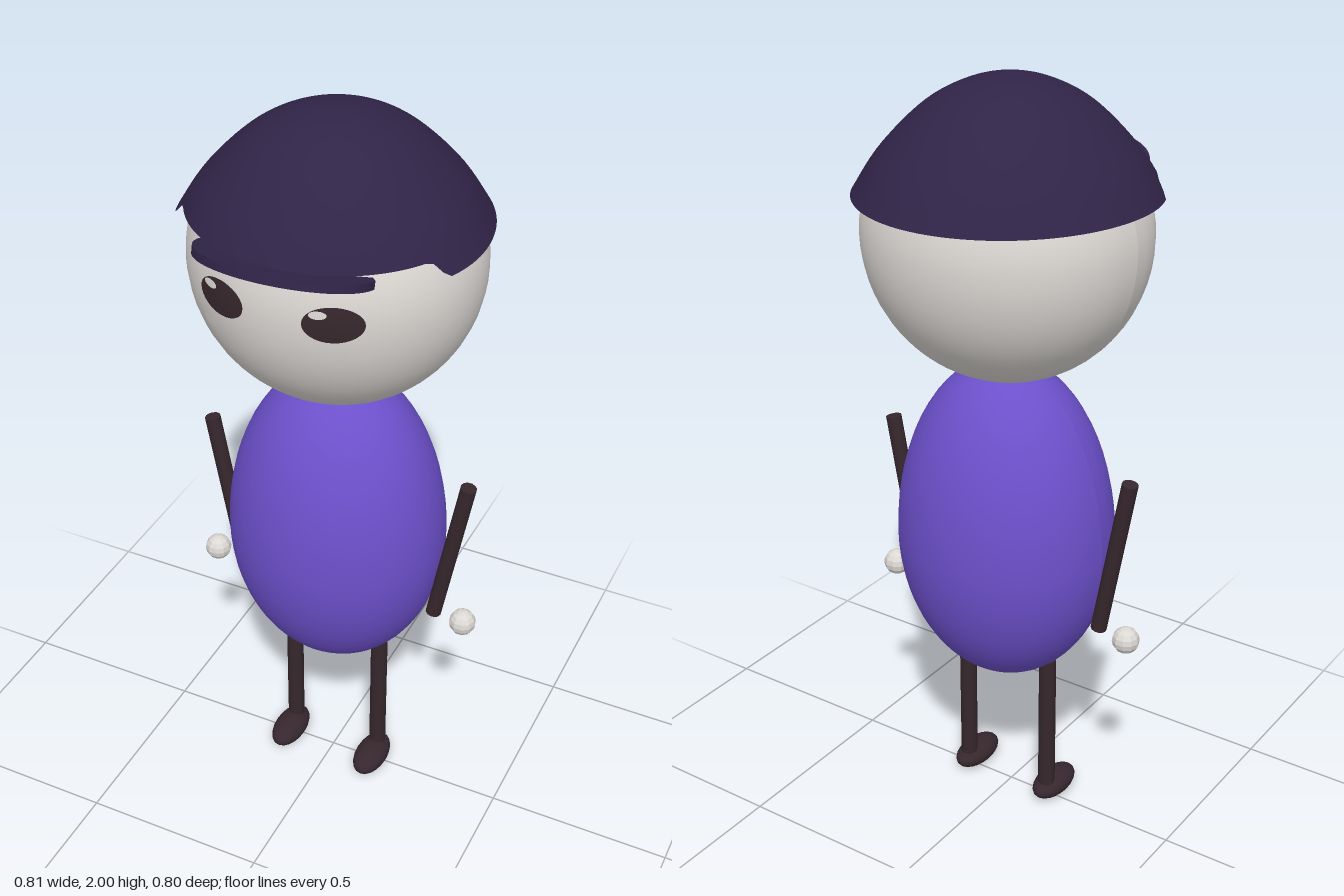
import * as THREE from 'three';
import { ParametricGeometry } from 'three/addons/geometries/ParametricGeometry.js';

const mat = (name, color, extra = {}) => {
  const m = new THREE.MeshStandardMaterial({ color, ...extra });
  m.name = name;
  return m;
};

export function createModel() {
  const group = new THREE.Group();
  const navy = mat('cap navy', 0x302447, { side: THREE.DoubleSide });
  const pale = mat('pale skin', 0xdcd8d4);
  const paleFlat = mat('pale skin faceted', 0xdcd8d4, { flatShading: true });
  const purple = mat('body purple', 0x6c50cb);
  const dark = mat('limb brown', 0x36272d);

  const add = (name, geometry, material, x = 0, y = 0, z = 0) => {
    const mesh = new THREE.Mesh(geometry, material);
    mesh.name = name;
    mesh.position.set(x, y, z);
    group.add(mesh);
    return mesh;
  };

  // Ellipsoid whose upper and lower halves have different heights
  const egg = (rx, up, down, rz) => {
    const g = new THREE.SphereGeometry(1, 48, 32);
    const p = g.attributes.position;
    for (let i = 0; i < p.count; i++) {
      const y = p.getY(i);
      p.setXYZ(i, p.getX(i) * rx, y * (y > 0 ? up : down), p.getZ(i) * rz);
    }
    g.computeVertexNormals();
    return g;
  };

  add('body', egg(0.293, 0.49, 0.4, 0.26), purple, 0, 0.8, -0.025);
  const head = { x: 0.365, up: 0.33, down: 0.37, z: 0.338, cy: 1.62, cz: -0.02 };
  add('head', egg(head.x, head.up, head.down, head.z), pale, 0, head.cy, head.cz);

  // Elliptical patch that follows the front of the head
  const facePatch = (name, x, y, rx, ry, lift, material) => {
    const g = new THREE.RingGeometry(0, 1, 32, 5);
    const p = g.attributes.position;
    for (let i = 0; i < p.count; i++) {
      const px = x + p.getX(i) * rx, py = y + p.getY(i) * ry;
      const dy = (py - head.cy) / (py > head.cy ? head.up : head.down);
      const depth = Math.sqrt(1 - (px / head.x) ** 2 - dy * dy);
      p.setXYZ(i, px, py, head.cz + head.z * depth + lift);
    }
    g.computeVertexNormals();
    add(name, g, material);
  };

  // Cap dome with a raised rim above the face
  const profile = new THREE.SplineCurve([
    [0, 0], [0.1, 0.02], [0.205, 0.075], [0.31, 0.18], [0.375, 0.28],
  ].map(([r, drop]) => new THREE.Vector2(r, drop)));
  const dome = new ParametricGeometry((u, v, target) => {
    const a = Math.PI - u * Math.PI * 2;
    const c = Math.cos(a);
    const end = 1 - 0.095 * THREE.MathUtils.clamp((c - 0.38) / 0.084, 0, 1);
    const p = profile.getPointAt(v * end);
    target.set(p.x * Math.sin(a), 2 - p.y, p.x * c * (c > 0 ? 0.958 : 1.062));
  }, 120, 24);
  dome.computeVertexNormals();
  add('capDome', dome, navy);

  // Upturned brim
  const outline = new THREE.Shape();
  outline.moveTo(-0.2, 0);
  outline.lineTo(-0.22, 0.025);
  outline.absellipse(0, 0.025, 0.22, 0.155, Math.PI, 0, true);
  outline.lineTo(0.2, 0);
  const brim = add('capBrim',
    new THREE.ExtrudeGeometry(outline, { depth: 0.02, bevelEnabled: false, curveSegments: 32 }),
    navy, 0, 1.732, 0.225);
  brim.rotation.x = Math.PI / 2 - 0.27;

  for (const s of [-1, 1]) {
    const side = s > 0 ? 'left' : 'right';

    // Face details
    facePatch(side + 'Eye', s * 0.14, 1.63, 0.067, 0.045, 0.009, dark);
    facePatch(side + 'EyeGlint', s * 0.14 - 0.03, 1.656, 0.02, 0.01, 0.013, pale);
    facePatch(side + 'Cheek', s * 0.19, 1.54, 0.023, 0.015, 0.005, pale);

    // Slanted arm with a separate round hand
    const arm = add(side + 'Arm', new THREE.CylinderGeometry(0.021, 0.021, 0.445, 12),
      dark, s * 0.325, 0.82, -0.02);
    arm.rotation.z = -s * 0.18;
    add(side + 'Hand', new THREE.SphereGeometry(0.036, 10, 8), paleFlat, s * 0.368, 0.595, -0.022);

    // Leg and foot
    add(side + 'Leg', new THREE.CylinderGeometry(0.023, 0.023, 0.41, 12),
      dark, s * 0.13, 0.245, -0.02);
    const foot = add(side + 'Foot', new THREE.SphereGeometry(1, 20, 14), dark, s * 0.13, 0.033, 0.018);
    foot.scale.set(0.045, 0.033, 0.083);
  }
  return group;
}
